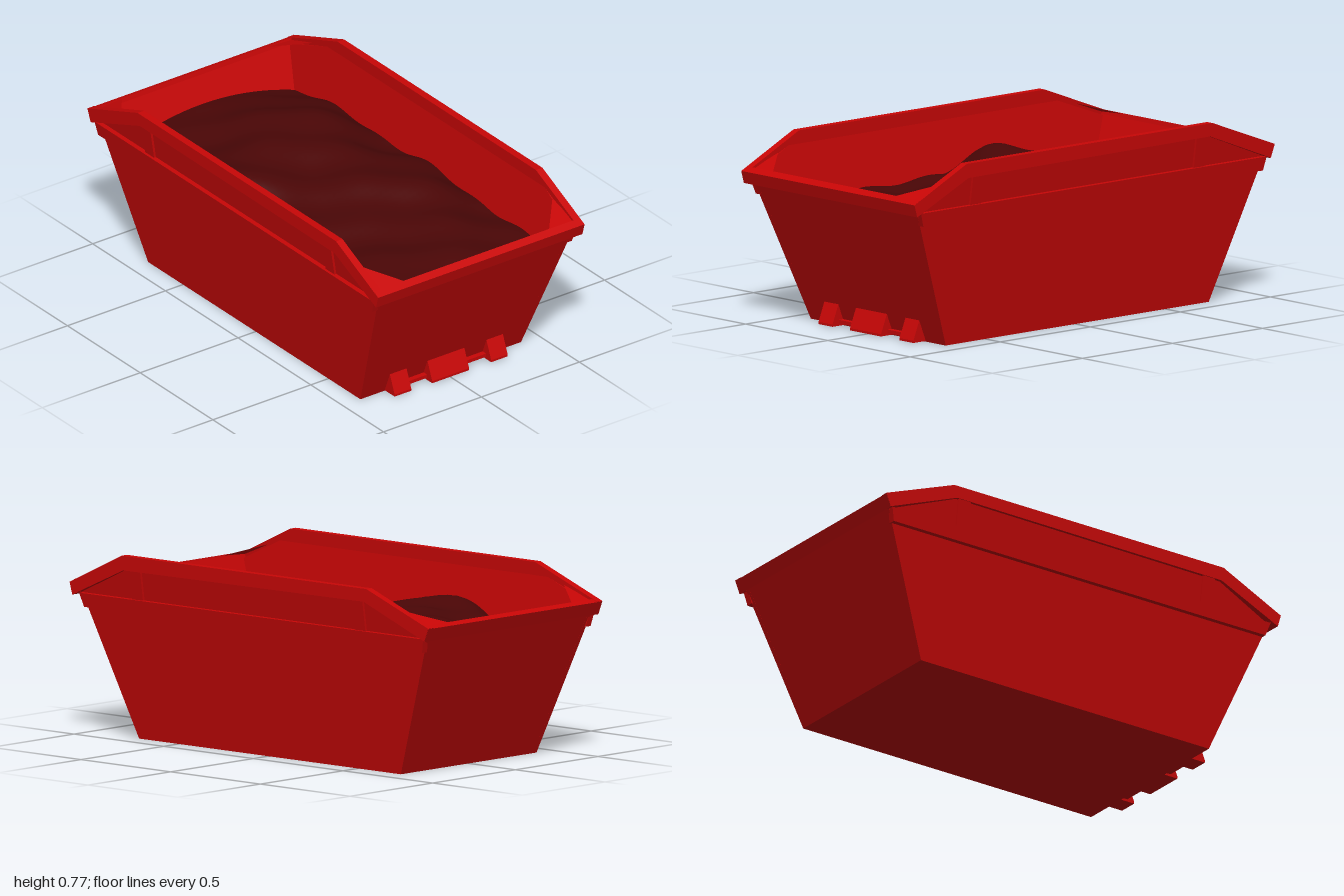
import * as THREE from 'three';

const SIDE_SLOPE = 0.145, FRONT_SLOPE = 0.4, BACK_SLOPE = 0.38;
const SIDE_WALL = 0.02, END_WALL = 0.012;

export function createModel() {
  const group = new THREE.Group();
  const red = new THREE.MeshStandardMaterial({ color: 0xc80606 });
  const redThin = new THREE.MeshStandardMaterial({ color: 0xc80606, side: THREE.DoubleSide });
  const dark = new THREE.MeshStandardMaterial({ color: 0x4a0606, side: THREE.DoubleSide });

  const add = (name, geometry, material = red) => {
    const mesh = new THREE.Mesh(geometry, material);
    mesh.name = name;
    group.add(mesh);
  };
  const extrude = (points, depth) => new THREE.ExtrudeGeometry(
    new THREE.Shape(points.map(([a, b]) => new THREE.Vector2(a, b))),
    { depth, bevelEnabled: false });

  // Lean a plate outward as it rises
  const lean = (geometry, axis, slope) => {
    const p = geometry.attributes.position;
    for (let i = 0; i < p.count; i++) {
      p.setComponent(i, axis, p.getComponent(i, axis) + slope * p.getY(i));
    }
    geometry.computeVertexNormals();
    return geometry;
  };

  // Plate drawn in (z, y), its outer face at x = side * outer
  const sidePlate = (points, outer, thickness, side = 1, slope = 0) => {
    const g = extrude(points, thickness).rotateY(-Math.PI / 2);
    g.translate(side > 0 ? outer : thickness - outer, 0, 0);
    return lean(g, 0, side * slope);
  };
  const rect = (z0, z1, y0, y1) => [[z0, y0], [z1, y0], [z1, y1], [z0, y1]];

  // Floor
  add('floor', new THREE.BoxGeometry(0.82, 0.012, 1.46).translate(0, 0.006, -0.01));

  // Sloping end walls
  const endShape = [[-0.41, 0], [0.41, 0], [0.503, 0.645], [-0.503, 0.645]];
  add('frontWall', lean(extrude(endShape, END_WALL).translate(0, 0, 0.72 - END_WALL), 2, FRONT_SLOPE));
  add('backWall', lean(extrude(endShape, END_WALL).translate(0, 0, -0.74), 2, -BACK_SLOPE));

  // End rims
  add('frontRim', sidePlate(
    [[0.955, 0.595], [0.985, 0.583], [1.0, 0.635], [0.968, 0.651]], 0.525, 1.05));
  add('backRim', sidePlate(
    [[-0.96, 0.6], [-0.973, 0.651], [-1.0, 0.64], [-0.978, 0.585]], 0.525, 1.05));

  for (const side of [1, -1]) {
    const label = side > 0 ? 'left' : 'right';

    // Side wall with sloping upper corners
    add(label + 'Wall', sidePlate(
      [[0.72, 0], [0.969, 0.622], [0.71, 0.745], [-0.65, 0.745], [-0.978, 0.625], [-0.74, 0]],
      0.41, SIDE_WALL, side, SIDE_SLOPE));

    // Raised top rim
    add(label + 'Rim', sidePlate(
      [[0.985, 0.583], [1.0, 0.635], [0.71, 0.772], [-0.655, 0.772], [-1.0, 0.642],
        [-0.978, 0.587], [-0.64, 0.718], [0.7, 0.712]], 0.527, 0.033, side));

    // Lower side rail and the posts between the two rails
    add(label + 'Rail', sidePlate(
      [[0.955, 0.593], [-0.963, 0.593], [-0.95, 0.535], [0.935, 0.535]],
      0.432, 0.03, side, SIDE_SLOPE));
    for (const z of [0.64, -0.6]) {
      add(label + 'Post', sidePlate(rect(z - 0.03, z + 0.03, 0.585, 0.725),
        0.42, 0.02, side, SIDE_SLOPE));
    }

    // Corner gussets
    const gussets = {
      Front: [0.37, 0.648, 0.967, 0.5, 0.64, 0.967, 0.489, 0.695, 0.83],
      Back: [0.37, 0.648, -0.973, 0.489, 0.695, -0.82, 0.5, 0.64, -0.973],
    };
    for (const [end, corners] of Object.entries(gussets)) {
      const g = new THREE.BufferGeometry();
      g.setAttribute('position', new THREE.Float32BufferAttribute(
        corners.map((v, i) => (i % 3 === 0 ? v * side : v)), 3));
      if (side < 0) g.setIndex([0, 2, 1]);
      g.computeVertexNormals();
      add(label + end + 'Gusset', g, redThin);
    }
  }

  // Lifting lugs low on the front, joined by a bar
  const lug = [[0.71, 0.003], [0.79, 0.003], [0.79, 0.012], [0.756, 0.096], [0.745, 0.09]];
  for (const [x0, x1] of [[-0.287, -0.202], [-0.095, 0.093], [0.206, 0.29]]) {
    add('frontLug', sidePlate(lug, x1, x1 - x0));
  }
  add('lugBar', sidePlate(rect(0.72, 0.755, 0.013, 0.028), 0.21, 0.42));

  // Heaped load, higher along the middle, its ends following the end walls
  const bumps = [[-0.38, -0.27, 0.19, 0.1], [0.1, -0.4, 0.26, 0.05],
    [0.25, 0.1, 0.22, 0.045], [-0.1, 0.4, 0.22, -0.03], [0.3, -0.55, 0.18, 0.03],
    [-0.4, 0.65, 0.15, 0.03]];
  const load = new THREE.PlaneGeometry(2, 2, 36, 64).rotateX(-Math.PI / 2);
  const p = load.attributes.position;
  for (let i = 0; i < p.count; i++) {
    const u = p.getX(i), v = p.getZ(i);
    const x = u * 0.46, z = v * 0.9;
    let y = 0.45 + 0.07 * (1 - u * u) + 0.035 * (1 - v ** 4);
    for (const [bx, bz, r, h] of bumps) {
      y += h * Math.exp(-((x - bx) ** 2 + (z - bz) ** 2) / (r * r));
    }
    y += 0.009 * (1 - v ** 4) * (Math.sin(17 * x + 9 * z) + Math.sin(19 * z - 13 * x + 1));
    const end = v > 0 ? 0.72 - END_WALL + FRONT_SLOPE * y : 0.74 - END_WALL + BACK_SLOPE * y;
    p.setXYZ(i, x, y, v * end);
  }
  load.computeVertexNormals();
  add('load', load, dark);

  return group;
}
